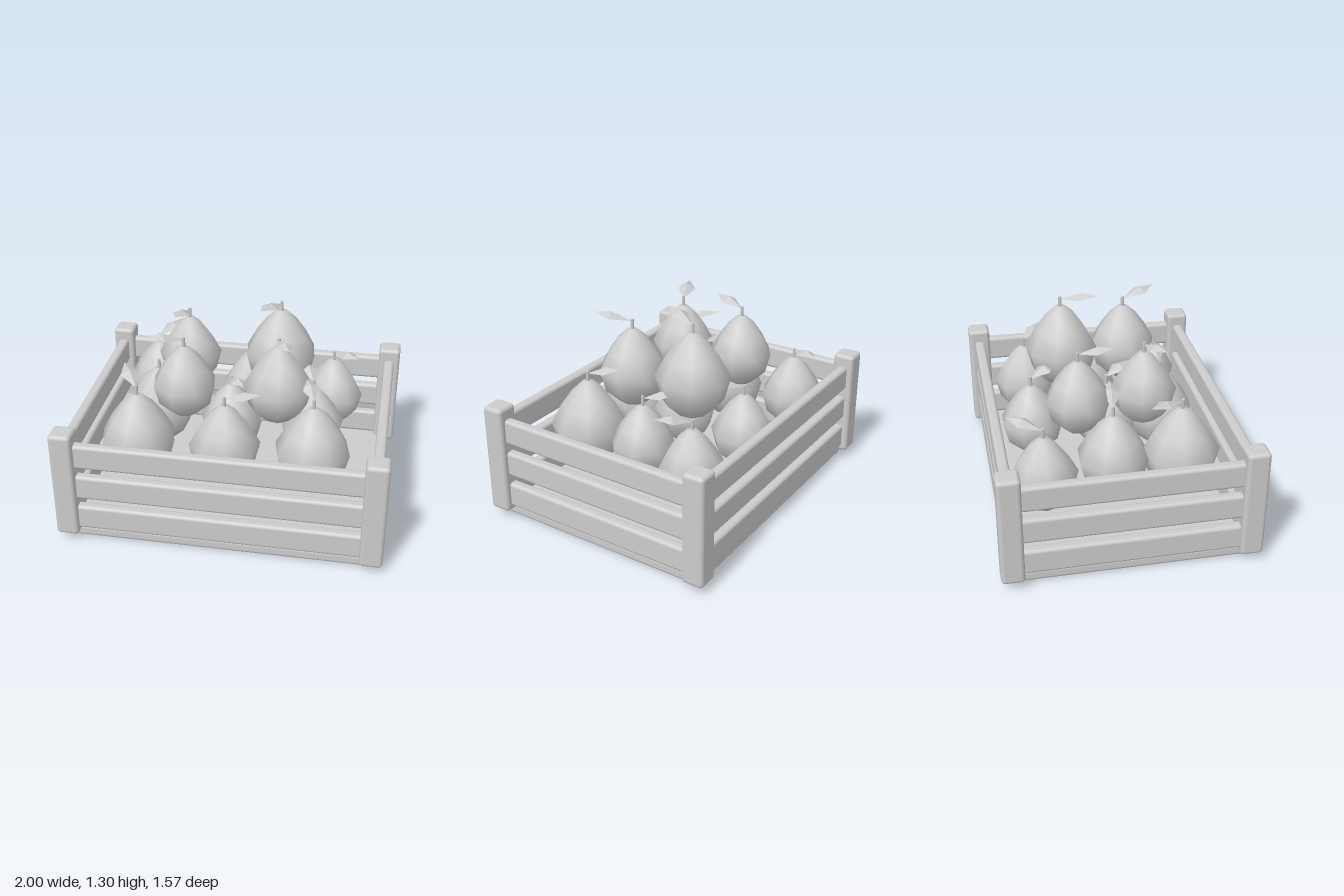
import * as THREE from 'three';
import { RoundedBoxGeometry } from 'three/addons/geometries/RoundedBoxGeometry.js';

const grey = new THREE.MeshStandardMaterial({ color: 0xcccccc, side: THREE.DoubleSide });
grey.name = 'plain grey';

function add(parent, name, geometry, x = 0, y = 0, z = 0) {
  const mesh = new THREE.Mesh(geometry, grey);
  mesh.name = name;
  mesh.position.set(x, y, z);
  parent.add(mesh);
  return mesh;
}

// Crate: base board, four posts and three slats on every side
function createCrate() {
  const crate = new THREE.Group();
  crate.name = 'crate';
  add(crate, 'baseBoard', new RoundedBoxGeometry(1.86, 0.08, 1.43, 3, 0.025), 0, 0.04, 0);
  const post = new RoundedBoxGeometry(0.14, 0.71, 0.14, 3, 0.025);
  const longSlat = new RoundedBoxGeometry(1.8, 0.163, 0.066, 3, 0.022);
  const shortSlat = new RoundedBoxGeometry(0.066, 0.163, 1.38, 3, 0.022);
  for (const s of [-1, 1]) {
    for (const t of [-1, 1]) add(crate, 'cornerPost', post, s * 0.93, 0.405, t * 0.713);
    for (const y of [0.163, 0.381, 0.6]) {
      add(crate, 'longSlat', longSlat, 0, y, s * 0.713);
      add(crate, 'shortSlat', shortSlat, s * 0.93, y, 0);
    }
  }
  return crate;
}

// Pear body profile for radius 1: [radius, height]
const PROFILE = [[0, 0], [0.42, 0.02], [0.84, 0.42], [1, 1.04], [0.72, 1.57], [0.42, 1.99], [0.16, 2.23], [0, 2.26]];
const bodyGeometry = new THREE.LatheGeometry(PROFILE.map(([r, h]) => new THREE.Vector2(r, h)), 8);

// Folded diamond leaf, pointing along +z from its base
function leafGeometry(length) {
  const w = 0.058, m = length * 0.55;
  const base = [0, 0, 0], ridge = [0, 0.055, m], tip = [0, 0.045, length];
  const left = [w, 0.025, m], right = [-w, 0.025, m];
  const corners = [base, ridge, left, base, right, ridge, ridge, tip, left, ridge, right, tip];
  const g = new THREE.BufferGeometry();
  // corners run counter-clockwise seen from above
  const faces = [];
  for (let i = 0; i < corners.length; i += 3) faces.push(corners[i], corners[i + 2], corners[i + 1]);
  g.setAttribute('position', new THREE.Float32BufferAttribute(faces.flat(), 3));
  g.computeVertexNormals();
  return g;
}

function createPear(x, z, bottom, r, tipX, tipZ, turn) {
  const pear = new THREE.Group();
  pear.name = 'pear';
  pear.position.set(x, bottom, z);
  const body = add(pear, 'pearBody', bodyGeometry);
  body.scale.setScalar(r);
  body.rotation.y = turn;
  const top = r * 2.26;
  add(pear, 'stem', new THREE.CylinderGeometry(0.011, 0.011, 0.08, 6), 0, top + 0.02, 0);
  const leaf = add(pear, 'leaf', leafGeometry(Math.hypot(tipX - x, tipZ - z)), 0, top + 0.045, 0);
  leaf.rotation.y = Math.atan2(tipX - x, tipZ - z);
  return pear;
}

// Each pear: x, z, bottom, radius, leaf tip x, leaf tip z
const PEARS = [
  [-0.62, -0.47, 0.32, 0.205, -0.5, -0.67],
  [0.02, -0.46, 0.32, 0.2, 0.13, -0.29],
  [0.57, -0.44, 0.32, 0.2, 0.74, -0.29],
  [-0.52, -0.04, 0.32, 0.222, -0.26, -0.01],
  [-0.04, 0.01, 0.32, 0.2, 0.07, 0.18],
  [0.48, -0.03, 0.32, 0.2, 0.4, -0.22],
  [-0.56, 0.37, 0.32, 0.236, -0.69, 0.15],
  [-0.02, 0.36, 0.32, 0.222, 0.2, 0.35],
  [0.52, 0.35, 0.32, 0.236, 0.45, 0.15],
  [-0.35, -0.22, 0.66, 0.2, -0.4, -0.01],
  [-0.3, 0.19, 0.66, 0.2, -0.51, 0.28],
  [0.28, 0.18, 0.67, 0.213, 0.37, 0.4],
  [0.24, -0.23, 0.68, 0.231, 0.14, 0],
];

export function createModel() {
  const model = new THREE.Group();
  model.name = 'pearCrate';
  model.add(createCrate());
  PEARS.forEach((p, i) => model.add(createPear(...p, i * 0.37)));
  return model;
}
